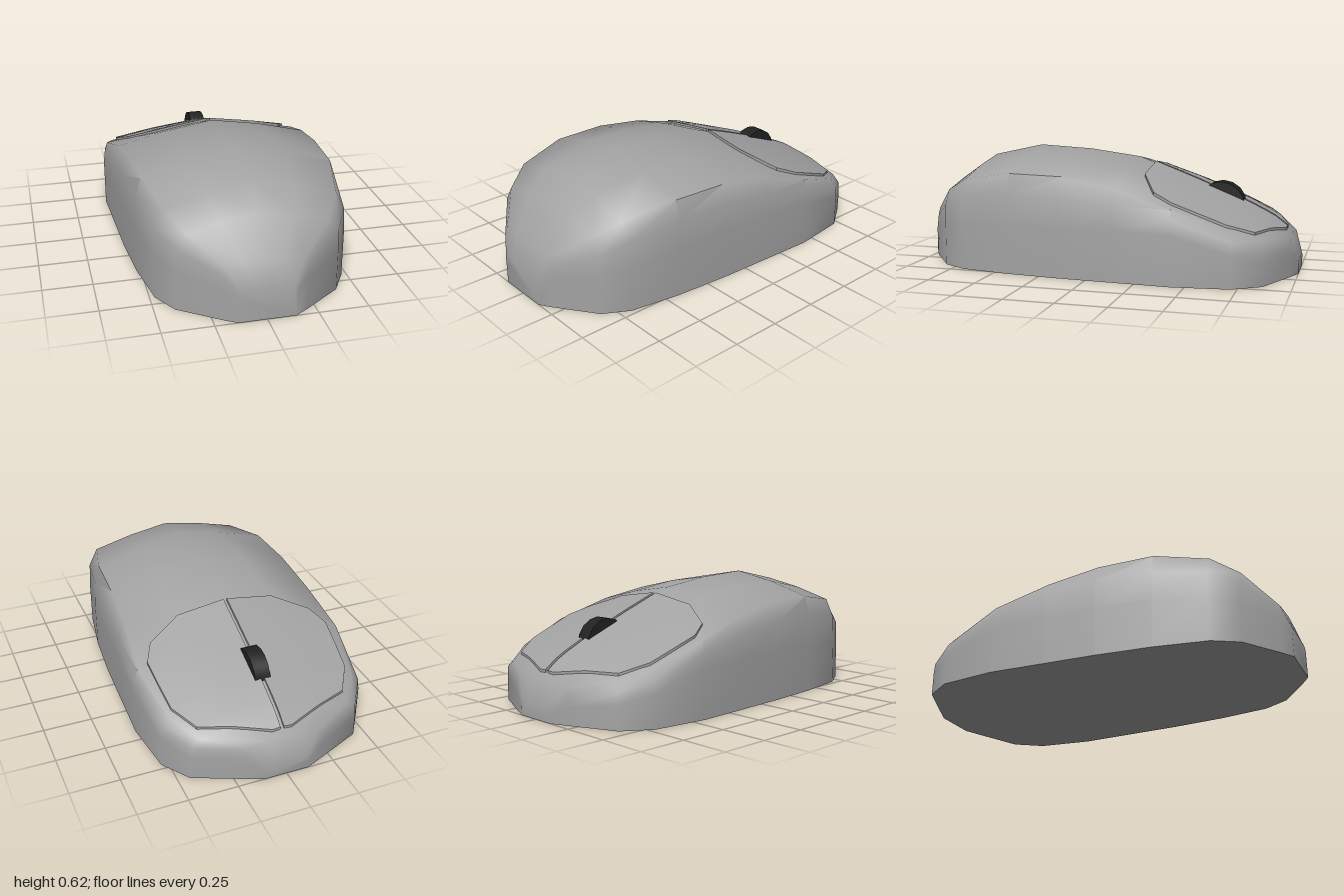
import * as THREE from 'three';
import { toCreasedNormals } from 'three/addons/utils/BufferGeometryUtils.js';

// Body stations along z: [z, half width, wall height, shoulder x, shoulder y, crown y]
const STATIONS = [
  [-1, 0.115, 0.04, 0.1, 0.065, 0.07],
  [-0.96, 0.21, 0.09, 0.18, 0.175, 0.195],
  [-0.86, 0.44, 0.12, 0.385, 0.215, 0.27],
  [-0.72, 0.535, 0.16, 0.485, 0.265, 0.34],
  [-0.43, 0.57, 0.25, 0.545, 0.37, 0.455],
  [-0.14, 0.557, 0.26, 0.515, 0.46, 0.565],
  [0.13, 0.545, 0.26, 0.5, 0.505, 0.6],
  [0.42, 0.52, 0.25, 0.485, 0.51, 0.615],
  [0.69, 0.475, 0.23, 0.42, 0.465, 0.555],
  [0.82, 0.4, 0.21, 0.345, 0.395, 0.46],
  [0.96, 0.203, 0.17, 0.18, 0.265, 0.285],
  [1, 0.14, 0.13, 0.13, 0.16, 0.165],
];

// Linear interpolation in a table of rows sorted by their first entry
function sample(table, t) {
  let i = 1;
  while (i < table.length - 1 && table[i][0] < t) i++;
  const a = table[i - 1], b = table[i];
  const k = THREE.MathUtils.clamp((t - a[0]) / (b[0] - a[0]), 0, 1);
  return a.map((v, n) => v + (b[n] - v) * k);
}

// Half section from the floor up to the crown
function halfSection([, w, wall, sx, sy, h]) {
  return [
    [w, 0], [w, wall], [w * 0.985, wall + (sy - wall) * 0.6],
    [sx, sy], [sx * 0.5, h - (h - sy) * 0.4], [0, h],
  ];
}

// Height of the shell above a point of the plan
function topHeight(x, z) {
  return sample(halfSection(sample(STATIONS, z)).reverse().slice(0, 4), Math.abs(x))[1];
}

function buildGeometry(positions, index, crease) {
  const g = new THREE.BufferGeometry();
  g.setAttribute('position', new THREE.Float32BufferAttribute(positions, 3));
  g.setIndex(index);
  return toCreasedNormals(g, crease);
}

function bodyGeometry() {
  const positions = [], index = [];
  let n = 0;
  STATIONS.forEach((s) => {
    const half = halfSection(s);
    const mirrored = half.slice(0, -1).reverse().map(([x, y]) => [-x, y]);
    const ring = [...half, ...mirrored];
    n = ring.length;
    ring.forEach(([x, y]) => positions.push(x, y, s[0]));
  });
  const last = (STATIONS.length - 1) * n;
  for (let i = 0; i < last; i += n) {
    for (let j = 0; j < n; j++) {
      const k = (j + 1) % n;
      index.push(i + j, i + k, i + n + j, i + k, i + n + k, i + n + j);
    }
  }
  // Flat ends
  for (let j = 1; j < n - 1; j++) {
    index.push(last, last + j, last + j + 1, 0, j + 1, j);
  }
  return buildGeometry(positions, index, 1.05);
}

// Outer edge of a button: [z, x]
const BUTTON_EDGE = [
  [-0.93, 0.05], [-0.87, 0.218], [-0.81, 0.385], [-0.685, 0.465], [-0.55, 0.479],
  [-0.42, 0.49], [-0.32, 0.44], [-0.275, 0.35], [-0.23, 0.26],
];

// Raised lid that follows the shell, with a skirt around its rim
function buttonGeometry(side) {
  const positions = [], index = [], cols = 6, inner = 0.009;
  const rows = BUTTON_EDGE.length;
  BUTTON_EDGE.forEach(([z, edge]) => {
    for (let j = 0; j <= cols; j++) {
      const x = inner + (edge - inner) * j / cols;
      positions.push(x * side, topHeight(x, z) + 0.014, z);
    }
  });
  const n = cols + 1;
  const tri = (a, b, c) => (side > 0 ? index.push(a, b, c) : index.push(a, c, b));
  for (let i = 0; i < rows - 1; i++) {
    for (let j = 0; j < cols; j++) {
      const a = i * n + j;
      tri(a, a + n, a + 1);
      tri(a + 1, a + n, a + n + 1);
    }
  }
  // Rim in order: inner edge, rear edge, outer edge, nose edge
  const rim = [];
  for (let i = 0; i < rows - 1; i++) rim.push(i * n);
  for (let j = 0; j < cols; j++) rim.push((rows - 1) * n + j);
  for (let i = rows - 1; i > 0; i--) rim.push(i * n + cols);
  for (let j = cols; j > 0; j--) rim.push(j);
  const base = positions.length / 3;
  rim.forEach((v) => positions.push(positions[v * 3], positions[v * 3 + 1] - 0.035, positions[v * 3 + 2]));
  rim.forEach((v, k) => {
    const m = (k + 1) % rim.length;
    tri(v, base + k, rim[m]);
    tri(rim[m], base + k, base + m);
  });
  return buildGeometry(positions, index, 0.6);
}

export function createModel() {
  const shellGrey = new THREE.MeshStandardMaterial({ color: 0xa3a3a3 });
  shellGrey.name = 'shell grey';
  const wheelBlack = new THREE.MeshStandardMaterial({ color: 0x222222 });
  wheelBlack.name = 'wheel black';

  const group = new THREE.Group();
  group.name = 'computerMouse';
  const add = (name, geometry, material) => {
    const mesh = new THREE.Mesh(geometry, material);
    mesh.name = name;
    group.add(mesh);
    return mesh;
  };

  add('body', bodyGeometry(), shellGrey);
  add('leftButton', buttonGeometry(1), shellGrey);
  add('rightButton', buttonGeometry(-1), shellGrey);

  // Scroll wheel sunk between the buttons
  const wheelShape = new THREE.CylinderGeometry(0.125, 0.125, 0.08, 16).rotateZ(Math.PI / 2);
  const wheel = add('scrollWheel', toCreasedNormals(wheelShape, 0.6), wheelBlack);
  wheel.position.set(0, 0.323, -0.585);

  return group;
}
